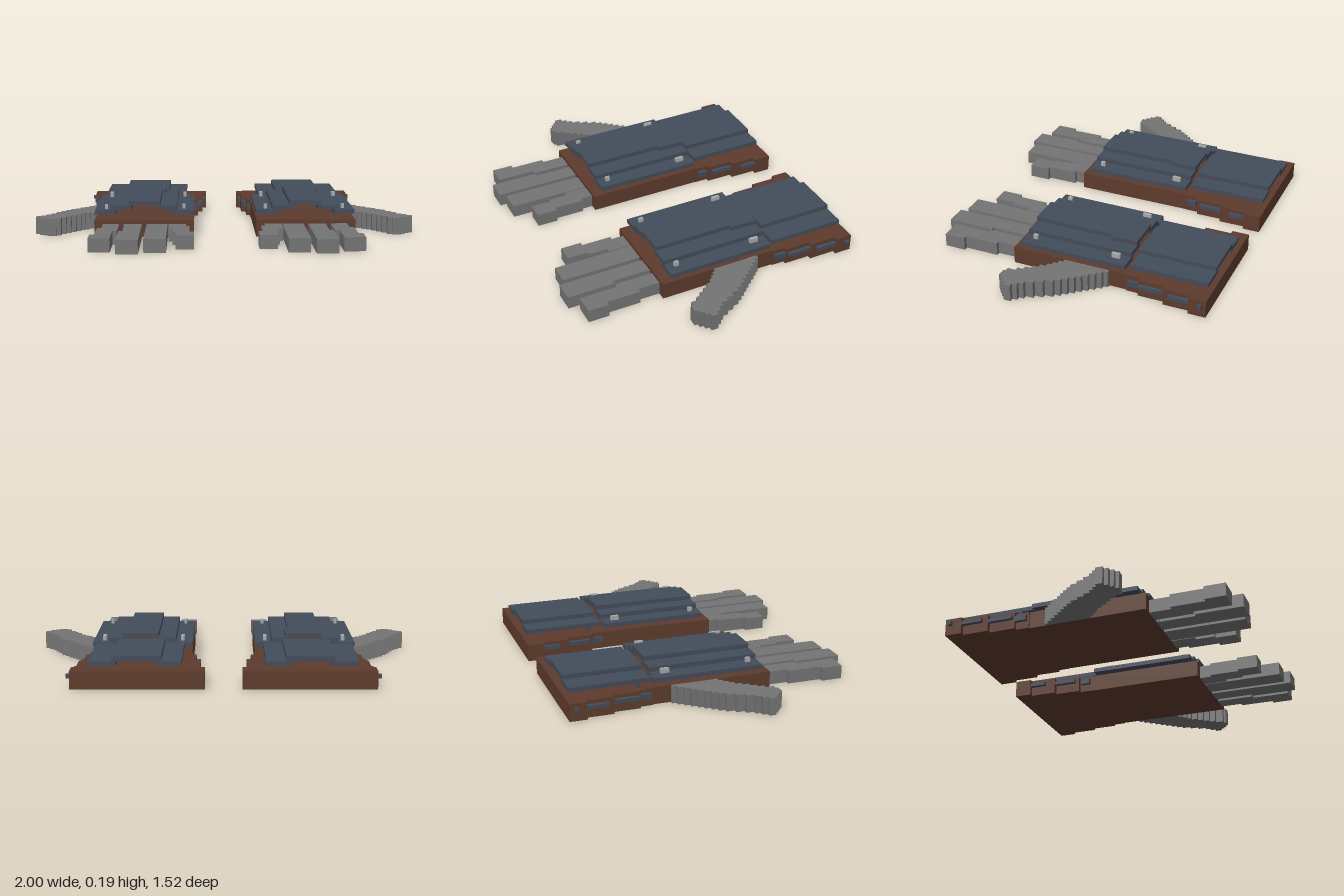
import * as THREE from 'three';

const mat = (name, color) => {
  const m = new THREE.MeshStandardMaterial({ color });
  m.name = name;
  return m;
};

export function createModel() {
  const leather = mat('brown leather', 0x5d3b2c);
  const steel = mat('slate steel', 0x434c5a);
  const skin = mat('grey glove', 0x747474);
  const metal = mat('pale rivet', 0xa6aaa8);
  const model = new THREE.Group();

  // box from its limits; s mirrors it across x
  const box = (parent, name, m, s, [x0, x1], [y0, y1], [z0, z1]) => {
    const mesh = new THREE.Mesh(new THREE.BoxGeometry(x1 - x0, y1 - y0, z1 - z0), m);
    mesh.position.set(s * (x0 + x1) / 2, (y0 + y1) / 2, (z0 + z1) / 2);
    mesh.name = name;
    parent.add(mesh);
  };

  // flat slab whose outline is a stack of stepped rows: [start, end, low, high];
  // rows run along z, or along x when alongX is set
  const stepped = (parent, name, m, s, rows, height, alongX = false) => {
    const low = [], high = [];
    for (const [a, b, lo, hi] of rows) {
      low.push([a, lo], [b, lo]);
      high.push([a, hi], [b, hi]);
    }
    const outline = [...low, ...high.reverse()].map(([t, v]) =>
      alongX ? new THREE.Vector2(s * t, -v) : new THREE.Vector2(s * v, -t));
    const geo = new THREE.ExtrudeGeometry(new THREE.Shape(outline), { depth: height, bevelEnabled: false });
    geo.rotateX(-Math.PI / 2);
    const mesh = new THREE.Mesh(geo, m);
    mesh.name = name;
    parent.add(mesh);
  };

  // piecewise linear lookup for the thumb edges
  const lerpAt = (pts, x) => {
    const i = Math.max(1, pts.findIndex(p => p[0] >= x));
    const [a, b] = [pts[i - 1], pts[i]];
    return a[1] + (b[1] - a[1]) * (x - a[0]) / (b[0] - a[0]);
  };
  const thumbBack = [[0.66, -0.25], [0.7, -0.22], [0.87, -0.02], [0.94, 0.11], [1, 0.175]];
  const thumbFront = [[0.66, -0.01], [0.76, 0.08], [0.85, 0.2], [0.88, 0.255], [0.92, 0.258], [0.95, 0.235], [1, 0.19]];
  const thumbRows = [];
  const steps = 14, w = 0.32 / steps;
  for (let i = 0; i < steps; i++) {
    const x = 0.68 + i * w;
    thumbRows.push([x, x + w, lerpAt(thumbBack, x + w / 2), lerpAt(thumbFront, x + w / 2)]);
  }

  const fingers = {
    littleFinger: [[0.305, 0.37, 0.205, 0.295], [0.37, 0.43, 0.185, 0.295], [0.43, 0.53, 0.185, 0.272], [0.53, 0.64, 0.163, 0.255]],
    ringFinger: [[0.305, 0.43, 0.255 + 0.045, 0.41], [0.43, 0.64, 0.30, 0.41], [0.64, 0.73, 0.30, 0.41]],
    middleFinger: [[0.305, 0.32, 0.435, 0.53], [0.32, 0.51, 0.435, 0.525], [0.51, 0.76, 0.435, 0.545]],
    indexFinger: [[0.305, 0.42, 0.553, 0.638], [0.42, 0.51, 0.553, 0.66], [0.51, 0.60, 0.575, 0.66], [0.60, 0.71, 0.575, 0.683]],
  };

  for (const s of [1, -1]) {
    const g = new THREE.Group();
    g.name = s > 0 ? 'leftGauntlet' : 'rightGauntlet';
    model.add(g);

    // leather base with flared cuff
    stepped(g, 'leatherBase', leather, s, [
      [-0.76, -0.67, 0.092, 0.752], [-0.67, -0.53, 0.115, 0.73],
      [-0.53, -0.39, 0.14, 0.708], [-0.39, -0.32, 0.16, 0.69], [-0.32, 0.305, 0.163, 0.683],
    ], 0.09);

    // fingers and thumb
    for (const [name, rows] of Object.entries(fingers)) stepped(g, name, skin, s, rows, 0.07);
    stepped(g, 'thumb', skin, s, thumbRows, 0.09, true);

    // steel strips along both edges of the cuff
    for (const [z0, z1, x0, x1, y0] of [
      [-0.74, -0.72, 0.74, 0.772, 0.05], [-0.67, -0.56, 0.72, 0.75, 0.05],
      [-0.54, -0.4, 0.70, 0.728, 0.05], [-0.39, -0.33, 0.68, 0.708, 0.04],
      [-0.67, -0.585, 0.095, 0.125, 0.05], [-0.54, -0.41, 0.118, 0.15, 0.05],
      [-0.38, -0.33, 0.14, 0.17, 0.04],
    ]) box(g, 'cuffEdgeStrip', steel, s, [x0, x1], [y0, 0.07], [z0, z1]);

    // arched hand plate in three overlapping tiers
    const hand = [-0.31, 0.26];
    box(g, 'handPlateOuter', steel, s, [0.163, 0.275], [0.113, 0.136], hand);
    box(g, 'handPlateOuter', steel, s, [0.575, 0.683], [0.113, 0.136], hand);
    box(g, 'handPlateMiddle', steel, s, [0.25, 0.36], [0.136, 0.161], hand);
    box(g, 'handPlateMiddle', steel, s, [0.49, 0.597], [0.136, 0.161], hand);
    box(g, 'handPlateTop', steel, s, [0.34, 0.505], [0.161, 0.185], hand);
    // small offset along one edge of the top tier
    box(g, 'handPlateTopStep', steel, s, s > 0 ? [0.505, 0.525] : [0.32, 0.34], [0.161, 0.185], [-0.31, -0.165]);

    // arched cuff plate in two tiers
    const cuff = [-0.74, -0.33];
    box(g, 'cuffPlateSide', steel, s, [0.205, 0.325], [0.113, 0.136], cuff);
    box(g, 'cuffPlateSide', steel, s, [0.525, 0.662], [0.113, 0.136], cuff);
    box(g, 'cuffPlateTop', steel, s, [0.305, 0.548], [0.136, 0.16], cuff);

    // post and link that carry the plates
    const px = s > 0 ? [0.205, 0.228] : [0.64, 0.662];
    box(g, 'platePost', steel, s, px, [0.09, 0.113], [-0.395, -0.375]);
    box(g, 'plateLink', steel, s, px, [0.113, 0.136], [-0.33, -0.31]);

    // rivets
    for (const x of [0.215, 0.625]) {
      box(g, 'rivet', metal, s, [x - 0.009, x + 0.009], [0.136, 0.16], [-0.262, -0.217]);
      box(g, 'rivet', metal, s, [x - 0.008, x + 0.008], [0.136, 0.16], [0.193, 0.217]);
    }
  }
  return model;
}
